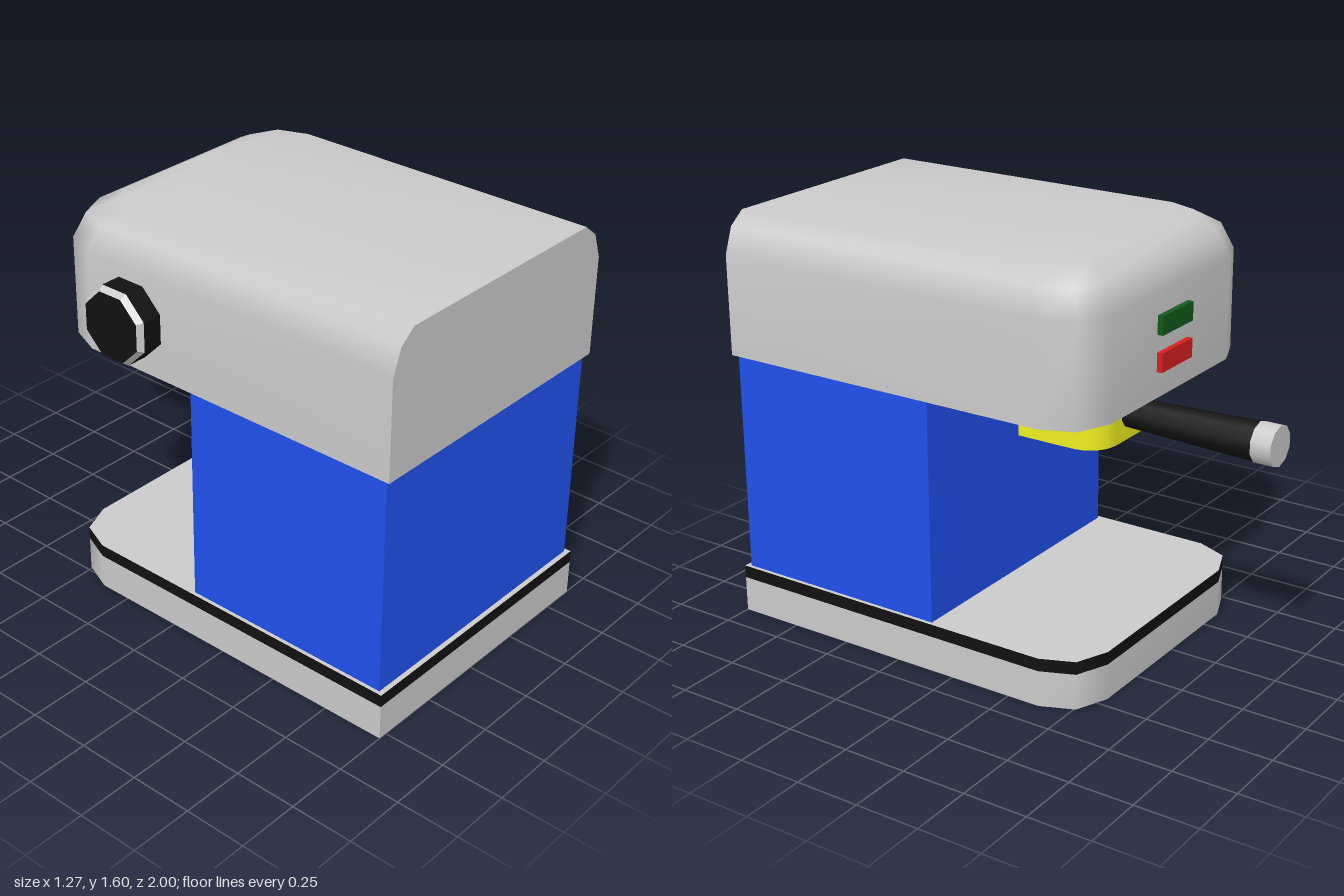
import * as THREE from 'three';

const mat = (color, flat = false) =>
  new THREE.MeshStandardMaterial({ color, flatShading: flat, side: THREE.DoubleSide });
const GREY = 0xcccccc, BLACK = 0x111111, BLUE = 0x2050ee, YELLOW = 0xf0f020;
const CX = 0.05, BACK = 1, FRONT = -0.56, HALF = 0.585;

// U-shaped plan outline with rounded corners at -z, open at zBack; points are [x, z]
function uOutline(half, zBack, zFront, r, segs) {
  const side = [];
  for (let i = 0; i <= segs; i++) {
    const a = (i / segs) * Math.PI / 2;
    side.push([half - r + r * Math.cos(a), zFront + r - r * Math.sin(a)]);
  }
  side.unshift([half, zBack]);
  const left = side.map(([x, z]) => [CX - x, z]);
  const right = side.map(([x, z]) => [CX + x, z]).reverse();
  return [...left, ...right];
}

// Smooth skin through stacked rings; each ring is a list of [x, y, z]
function skin(rings) {
  const n = rings[0].length, index = [];
  for (let j = 0; j < rings.length - 1; j++) {
    for (let i = 0; i < n - 1; i++) {
      const a = j * n + i, c = a + n;
      index.push(a, c, a + 1, a + 1, c, c + 1);
    }
  }
  const g = new THREE.BufferGeometry();
  g.setAttribute('position', new THREE.Float32BufferAttribute(rings.flat(2), 3));
  g.setIndex(index);
  g.computeVertexNormals();
  return g;
}

// Straight U-shaped wall between two heights
const wall = (outline, y0, y1) =>
  skin([y0, y1].map(y => outline.map(([x, z]) => [x, y, z])));

export function createModel() {
  const model = new THREE.Group();
  const add = (name, geometry, color, pos = [0, 0, 0], parent = model, flat = false) => {
    const m = new THREE.Mesh(geometry, mat(color, flat));
    m.name = name;
    m.position.set(...pos);
    parent.add(m);
    return m;
  };
  const body = uOutline(HALF, BACK, FRONT, 0.18, 2);

  // Hollow base: grey skirt, black trim band and top plate
  [['baseSkirt', 0, 0.14, GREY], ['baseTrim', 0.14, 0.19, BLACK]].forEach(([name, y0, y1, color]) => {
    add(name, wall(body, y0, y1), color);
    add(name + 'Back', new THREE.PlaneGeometry(HALF * 2, y1 - y0), color, [CX, (y0 + y1) / 2, BACK]);
  });
  const plate = new THREE.Shape(body.map(([x, z]) => new THREE.Vector2(x, -z)));
  add('basePlate', new THREE.ShapeGeometry(plate).rotateX(-Math.PI / 2), GREY, [0, 0.19, 0]);

  // Open square column, reaching slightly into the base and the head
  const column = new THREE.CylinderGeometry(Math.SQRT1_2, Math.SQRT1_2, 1, 4, 1, true)
    .rotateY(Math.PI / 4).scale(1.14, 0.935, 0.88);
  add('column', column, BLUE, [CX, 0.6325, 0.54], model, true);

  // Hollow head: [height, side inset, front inset], rounded over and closed along the ridge
  const levels = [[1.06, 0, 0], [1.45, 0, 0], [1.55, 0.037, 0.04], [1.6, 0.1, 0.13], [1.6, HALF, 0.13]];
  const rings = levels.map(([y, dx, dz]) => body.map(([x, z]) => [
    CX + (x - CX) * (1 - dx / HALF), y,
    BACK - (BACK - z) * (1 - dz / (BACK - FRONT)),
  ]));
  add('headShell', skin(rings), GREY);
  const profile = rings.slice(0, 4);
  const backPts = [
    ...profile.map(r => r[r.length - 1]),
    ...profile.map(r => r[0]).reverse(),
  ].map(([x, y]) => new THREE.Vector2(x, y));
  add('headBack', new THREE.ShapeGeometry(new THREE.Shape(backPts)), GREY, [0, 0, BACK]);

  // Indicator buttons on the head
  add('greenButton', new THREE.BoxGeometry(0.21, 0.072, 0.06), 0x125a18, [CX, 1.332, -0.552]);
  add('redButton', new THREE.BoxGeometry(0.21, 0.072, 0.06), 0xd82020, [CX, 1.195, -0.552]);

  // Octagonal side knob, axis along -x
  const knob = new THREE.Group();
  knob.name = 'knob';
  knob.rotation.z = Math.PI / 2;
  knob.position.set(-0.5, 1.263, -0.165);
  model.add(knob);
  const R = 0.152;
  const octagon = (r0, r1, h, open) =>
    new THREE.CylinderGeometry(r1, r0, h, 8, 1, open).rotateY(Math.PI / 8);
  const disc = r => new THREE.CircleGeometry(r, 8).rotateX(-Math.PI / 2).rotateY(Math.PI / 8);
  add('knobGrip', octagon(R, R, 0.115, true), BLACK, [0, 0.0575, 0], knob, true);
  add('knobBevel', octagon(R, 0.135, 0.023, true), GREY, [0, 0.1265, 0], knob, true);
  add('knobFace', disc(0.135), BLACK, [0, 0.138, 0], knob);
  add('knobInnerFace', disc(R), GREY, [0, 0, 0], knob);

  // Filter holder: rounded band open below and towards the column
  add('filterHolder', wall(uOutline(0.205, -0.04, -0.39, 0.11, 4), 0.84, 1.07), YELLOW);

  // Tapered handle with a grey end cap, axis along -z
  const rod = (r0, r1, len) => new THREE.CylinderGeometry(r1, r0, len, 10).rotateX(-Math.PI / 2);
  add('handle', rod(0.057, 0.075, 0.54), BLACK, [CX, 0.942, -0.65]);
  add('handleCap', rod(0.077, 0.077, 0.08), GREY, [CX, 0.942, -0.96]);

  return model;
}
